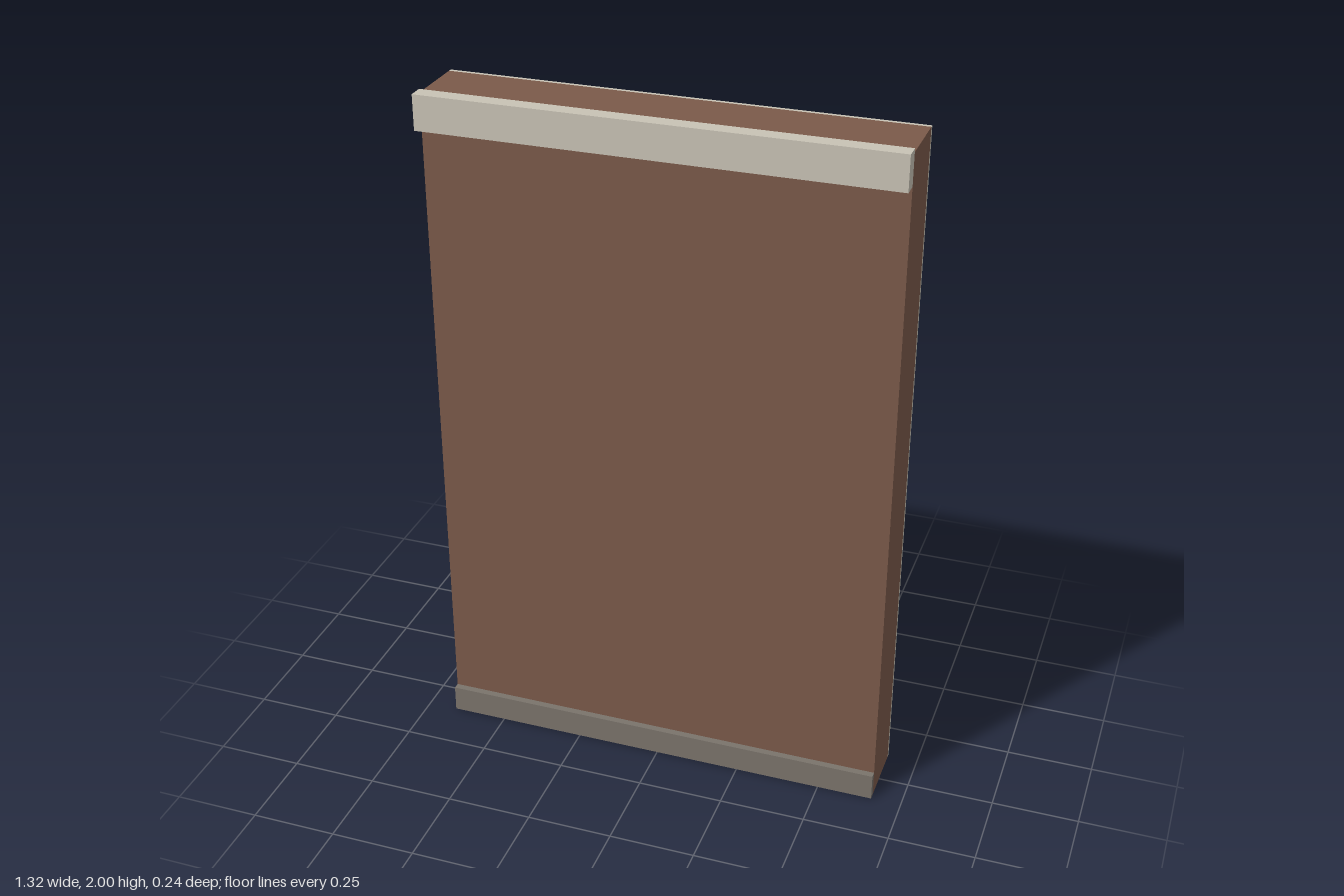
import * as THREE from 'three';

const material = (name, color) => {
  const m = new THREE.MeshStandardMaterial({ color });
  m.name = name;
  return m;
};

export function createModel() {
  const brick = material('brick brown', 0x7b5a4a);
  const plaster = material('pale plaster', 0xc8c3b5);
  const stone = material('grey stone', 0x7a736b);

  const model = new THREE.Group();
  model.name = 'wallPanel';
  const width = 1.324;

  // Full-width slab given by its y and z limits
  const slab = (name, mat, y0, y1, z0, z1) => {
    const mesh = new THREE.Mesh(new THREE.BoxGeometry(width, y1 - y0, z1 - z0), mat);
    mesh.name = name;
    mesh.position.set(0, (y0 + y1) / 2, (z0 + z1) / 2);
    model.add(mesh);
  };

  slab('brickWall', brick, 0, 1.99, -0.11, 0.076);
  slab('innerPlaster', plaster, 0, 1.99, -0.121, -0.11);
  slab('cornice', plaster, 1.9, 2, 0.076, 0.121);
  slab('plinth', stone, 0, 0.08, 0.076, 0.096);

  return model;
}
